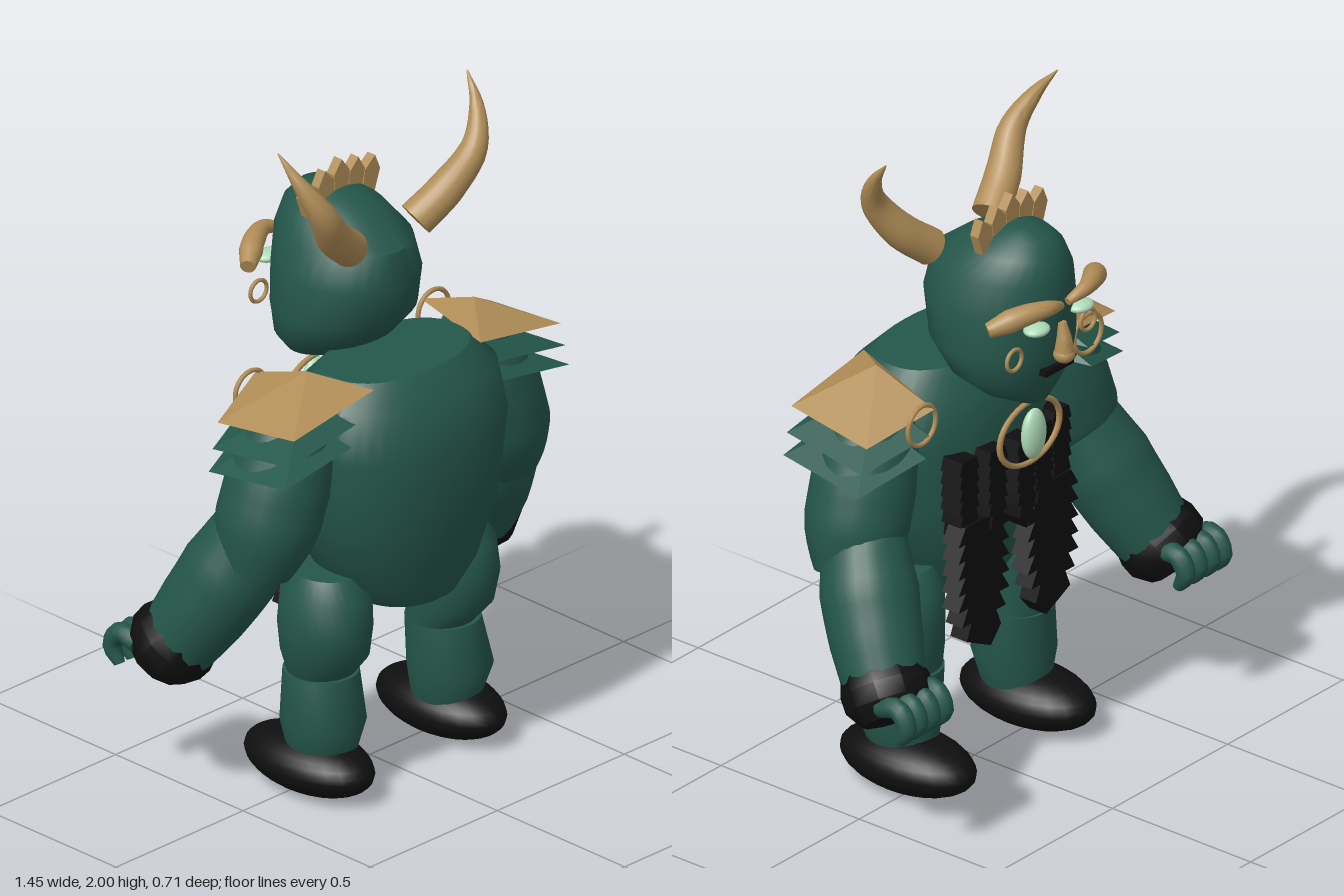
import * as THREE from 'three';
import { toCreasedNormals } from 'three/addons/utils/BufferGeometryUtils.js';

const mat = (name, color) => {
  const m = new THREE.MeshStandardMaterial({ color });
  m.name = name;
  return m;
};
const V = (p) => new THREE.Vector3(...p);

// Skin a list of rings (arrays of Vector3, counter-clockwise about the path) and cap both ends
function skin(rings, crease = 0.7) {
  const n = rings[0].length, pos = [], idx = [];
  const mid = (r) => r.reduce((a, p) => a.add(p), new THREE.Vector3()).divideScalar(n);
  const all = [rings[0].map(() => mid(rings[0])), ...rings, rings.at(-1).map(() => mid(rings.at(-1)))];
  all.forEach((r) => r.forEach((p) => pos.push(p.x, p.y, p.z)));
  for (let i = 0; i < all.length - 1; i++) {
    for (let j = 0; j < n; j++) {
      const a = i * n + j, b = i * n + (j + 1) % n, c = b + n, d = a + n;
      if (i > 0) idx.push(a, b, c);
      else idx.push(a, c, d);
      if (i > 0 && i < all.length - 2) idx.push(a, c, d);
    }
  }
  const g = new THREE.BufferGeometry();
  g.setAttribute('position', new THREE.Float32BufferAttribute(pos, 3));
  g.setIndex(idx);
  return toCreasedNormals(g, crease);
}

// Stack of level slices [y, centreX, halfWidth, backZ, frontZ]
function stack(slices, power = 2, n = 32) {
  const q = (t) => Math.sign(t) * Math.abs(t) ** (2 / power);
  return skin(slices.map(([y, cx, rx, zb, zf]) => Array.from({ length: n }, (_, j) => {
    const a = j / n * Math.PI * 2;
    return new THREE.Vector3(cx + rx * q(Math.sin(a)), y, (zb + zf) / 2 + (zb - zf) / 2 * q(Math.cos(a)));
  })));
}

// Tapered limb along a smooth path, radii spread evenly over its length
function limb(points, radii, steps = 14, n = 16) {
  const curve = new THREE.CatmullRomCurve3(points.map(V));
  const f = curve.computeFrenetFrames(steps, false);
  const rings = [];
  for (let i = 0; i <= steps; i++) {
    const k = i / steps * (radii.length - 1), a = Math.min(Math.floor(k), radii.length - 2);
    const r = THREE.MathUtils.lerp(radii[a], radii[a + 1], k - a), c = curve.getPointAt(i / steps);
    rings.push(Array.from({ length: n }, (_, j) => {
      const t = j / n * Math.PI * 2;
      return c.clone().addScaledVector(f.normals[i], r * Math.cos(t)).addScaledVector(f.binormals[i], r * Math.sin(t));
    }));
  }
  return skin(rings);
}

const ball = (p, r) => new THREE.SphereGeometry(1, 24, 16).scale(...r).translate(...p);
const ring = (p, r, tube, sx = 1, sy = 1) => new THREE.TorusGeometry(r, tube, 8, 32).scale(sx, sy, 1).translate(...p);

// Flat lock of fur with saw-toothed sides, narrowing to a point
function fur(x, top, bottom, z, width, teeth, depth, lean = 0) {
  const s = new THREE.Shape(), h = (top - bottom) / (teeth + 1), w = width / 2;
  const side = [];
  for (let i = 0; i < teeth; i++) {
    const k = w * (i > teeth * 0.6 ? 1 - 0.5 * (i / teeth - 0.6) / 0.4 : 1);
    side.push([k * 0.72, top - i * h], [k, top - (i + 1) * h]);
  }
  side.forEach(([a, y], i) => (i ? s.lineTo(a, y) : s.moveTo(a, y)));
  s.lineTo(lean, bottom);
  side.reverse().forEach(([a, y]) => s.lineTo(-a, y));
  return new THREE.ExtrudeGeometry(s, { depth, bevelEnabled: false }).translate(x, 0, z);
}

// Low four-sided shoulder scale with its peak off centre
function scale(dx, dy) {
  const c = [[0.325, 1.26, -0.125], [0.21, 1.285, 0.225], [0.525, 1.235, 0.225], [0.54, 1.2, -0.06]];
  const peak = [0.33, 1.335, 0.08], under = [0.4, 1.235, 0.07], pos = [];
  c.forEach((p, i) => {
    const q = c[(i + 1) % 4];
    pos.push(...p, ...q, ...peak, ...q, ...p, ...under);
  });
  const g = new THREE.BufferGeometry();
  g.setAttribute('position', new THREE.Float32BufferAttribute(pos, 3));
  g.computeVertexNormals();
  return g.translate(dx, dy, 0);
}

// Mirror image across x = 0 with the winding kept outward
function mirrored(src) {
  const g = src.index ? src.toNonIndexed() : src.clone();
  for (const key of ['position', 'normal']) {
    const a = g.attributes[key], old = a.array.slice();
    for (let i = 0; i < a.count; i++) {
      const j = i % 3 === 1 ? i + 1 : i % 3 === 2 ? i - 1 : i;
      a.setXYZ(i, -old[j * 3], old[j * 3 + 1], old[j * 3 + 2]);
    }
  }
  return g;
}

export function createModel() {
  const model = new THREE.Group();
  model.name = 'hornedBeast';
  const green = mat('deepGreen', 0x24564a), gold = mat('oldGold', 0xb08d57);
  const black = mat('black', 0x0f0f0f), pale = mat('paleGreen', 0xb0dcb8);
  const add = (name, g, m) => {
    const mesh = new THREE.Mesh(g, m);
    mesh.name = name;
    model.add(mesh);
  };
  const pair = (name, g, m) => {
    add(name + 'Left', g, m);
    add(name + 'Right', mirrored(g), m);
  };

  // Torso and head
  add('torso', stack([[0.58, 0, 0.16, 0.27, -0.06], [0.66, 0, 0.24, 0.3, -0.1], [0.85, 0, 0.305, 0.34, -0.12],
    [1.08, 0, 0.335, 0.355, -0.13], [1.22, 0, 0.315, 0.32, -0.11], [1.29, 0, 0.24, 0.25, -0.05]], 2.3, 40), green);
  add('head', stack([[1.2, 0, 0.05, -0.14, -0.25], [1.24, 0, 0.13, -0.07, -0.265], [1.3, 0, 0.19, 0.03, -0.29],
    [1.38, 0, 0.21, 0.1, -0.305], [1.5, 0, 0.2, 0.13, -0.315], [1.6, 0, 0.175, 0.11, -0.315],
    [1.67, 0, 0.13, 0.02, -0.295], [1.71, 0, 0.085, -0.06, -0.26], [1.73, 0, 0.03, -0.13, -0.2]]), green);

  // Horns and crest
  pair('horn', limb([[0.13, 1.635, 0.05], [0.22, 1.71, 0.08], [0.3, 1.82, 0.11], [0.35, 1.92, 0.07], [0.372, 2, 0.01]],
    [0.054, 0.052, 0.042, 0.024, 0.002], 20, 20), gold);
  for (let i = -2; i <= 2; i++) {
    const s = new THREE.Shape([[-0.022, 0], [0.022, 0], [0.03, 0.09], [0, 0.13], [-0.03, 0.09]].map((p) => new THREE.Vector2(...p)));
    const g = new THREE.ExtrudeGeometry(s, { depth: 0.03, bevelEnabled: false });
    add('crestSpike', g.rotateZ(-i * 0.12).translate(i * 0.05, 1.68 - Math.abs(i) * 0.014, -0.14), gold);
  }

  // Face
  pair('brow', limb([[0.015, 1.53, -0.325], [0.08, 1.55, -0.335], [0.15, 1.545, -0.305], [0.235, 1.512, -0.245]],
    [0.012, 0.022, 0.03, 0.034, 0.022], 16), gold);
  pair('eye', ball([0.095, 1.48, -0.305], [0.042, 0.017, 0.035]), pale);
  add('noseBridge', limb([[0, 1.47, -0.318], [0, 1.42, -0.325], [0, 1.37, -0.325]], [0.012, 0.022, 0.03]), gold);
  add('noseTip', ball([0, 1.372, -0.325], [0.031, 0.026, 0.031]), gold);
  add('mouth', new THREE.BoxGeometry(0.12, 0.02, 0.03).translate(0, 1.325, -0.295), black);
  pair('cheekRing', ring([0.16, 1.4, -0.278], 0.032, 0.006), gold);

  // Chest jewel and fur
  add('jewel', ball([0, 1.085, -0.215], [0.046, 0.078, 0.026]), pale);
  add('jewelRing', ring([0, 1.085, -0.2], 0.1, 0.008, 1.3, 0.95), gold);
  for (let i = -2; i <= 2; i++) {
    const d = Math.abs(i);
    add('chestFur', fur(i * 0.1, 1.06, 0.78, -0.19 + d * 0.02, 0.085, 6, 0.07), black);
  }
  pair('hipFur', fur(0.15, 0.86, 0.45, -0.16, 0.22, 7, 0.06, -0.03), black);

  // Legs and feet
  pair('thigh', stack([[0.37, 0.235, 0.1, 0.14, -0.05], [0.44, 0.245, 0.118, 0.2, -0.065], [0.53, 0.25, 0.125, 0.217, -0.07],
    [0.63, 0.245, 0.118, 0.21, -0.065], [0.69, 0.24, 0.09, 0.17, -0.03]]), green);
  pair('shin', stack([[0.08, 0.245, 0.08, 0.14, -0.04], [0.14, 0.245, 0.095, 0.16, -0.05], [0.23, 0.25, 0.122, 0.187, -0.056],
    [0.375, 0.24, 0.106, 0.157, -0.062]]), green);
  pair('foot', ball([0.26, 0.09, 0.022], [0.128, 0.087, 0.225]), black);

  // Arms, cuffs and curled fingers
  pair('upperArm', limb([[0.34, 1.25, 0.06], [0.4, 1.06, 0.055], [0.465, 0.86, 0.045], [0.49, 0.77, 0.03]],
    [0.09, 0.135, 0.15, 0.15, 0.11], 14, 24), green);
  pair('forearm', limb([[0.465, 0.86, 0.01], [0.52, 0.7, -0.06], [0.59, 0.5, -0.17]], [0.12, 0.14, 0.132, 0.115], 12, 24), green);
  pair('cuff', limb([[0.577, 0.55, -0.14], [0.595, 0.5, -0.18], [0.615, 0.44, -0.225]], [0.115, 0.13, 0.128, 0.095], 3, 10), black);
  for (const x of [0.525, 0.58, 0.635, 0.685]) {
    pair('finger', limb([[x, 0.505, -0.23], [x, 0.52, -0.295], [x, 0.47, -0.328], [x, 0.42, -0.3]],
      [0.028, 0.03, 0.03, 0.028, 0.016], 10, 12), green);
  }

  // Layered shoulder scales with hanging rings
  pair('shoulderScaleTop', scale(0, 0), gold);
  pair('shoulderScaleMiddle', scale(0.02, -0.075), green);
  pair('shoulderScaleLow', scale(0.035, -0.14), green);
  pair('shoulderRing', ring([0.36, 1.22, -0.11], 0.06, 0.007), gold);
  return model;
}
